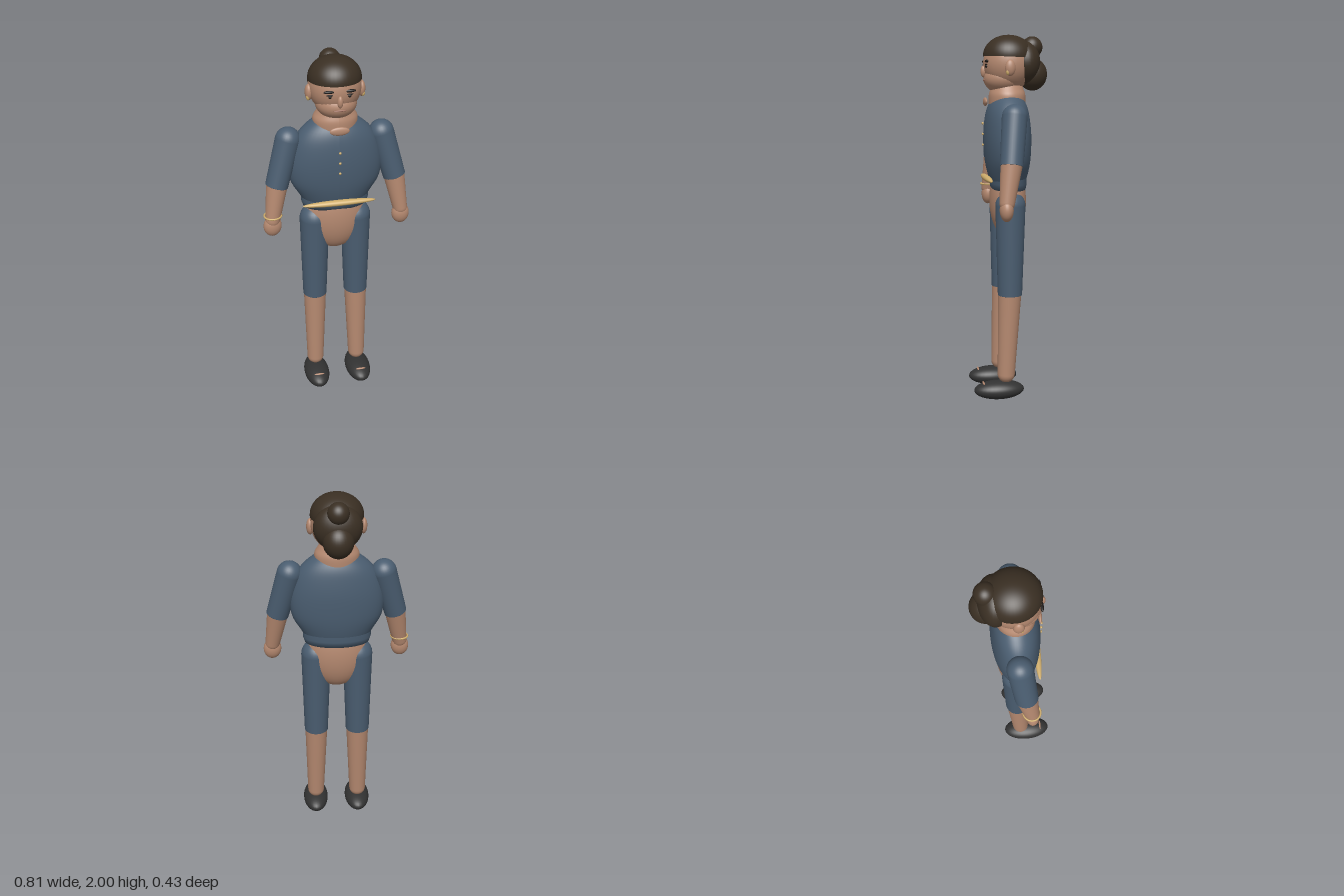
import * as THREE from 'three';

const mat = (name, color, side = THREE.FrontSide) => {
  const m = new THREE.MeshStandardMaterial({ color, side });
  m.name = name;
  return m;
};

export function createModel() {
  const skin = mat('skin', 0xb58970);
  const cloth = mat('blue cloth', 0x4a5d70, THREE.DoubleSide);
  const hair = mat('dark brown hair', 0x3a2f23, THREE.DoubleSide);
  const shoe = mat('charcoal shoe', 0x323232);
  const gold = mat('gold', 0xd0ae6c);
  const dark = mat('eye black', 0x1e1a18);
  const lip = mat('lip brown', 0xa07060);
  const root = new THREE.Group();
  root.name = 'standingFigure';

  const add = (name, geo, material, pos = [0, 0, 0]) => {
    const m = new THREE.Mesh(geo, material);
    m.name = name;
    m.position.set(...pos);
    root.add(m);
    return m;
  };
  const ball = (name, material, pos, radii, seg = 32) => {
    const m = add(name, new THREE.SphereGeometry(1, seg, Math.round(seg * 0.7)), material, pos);
    m.scale.set(...radii);
    return m;
  };
  // Elliptical loft: rows of [y, half width, half depth, z centre]
  const loft = (name, material, rows, smooth = true) => {
    const curve = new THREE.CatmullRomCurve3(rows.map(r => new THREE.Vector3(r[1], r[0], r[2])));
    const zc = new THREE.CatmullRomCurve3(rows.map(r => new THREE.Vector3(0, r[0], r[3])));
    const n = smooth ? 28 : rows.length - 1;
    const prof = [], depth = [], shift = [];
    for (let i = 0; i <= n; i++) {
      const p = curve.getPoint(i / n);
      prof.push(new THREE.Vector2(Math.max(p.x, 0.0001), p.y));
      depth.push(p.z / Math.max(p.x, 0.0001));
      shift.push(zc.getPoint(i / n).z);
    }
    const g = new THREE.LatheGeometry(prof, 48);
    const pos = g.attributes.position;
    for (let i = 0; i < pos.count; i++) {
      const k = i % (n + 1);
      pos.setZ(i, pos.getZ(i) * depth[k] + shift[k]);
    }
    g.computeVertexNormals();
    return add(name, g, material);
  };
  // Tapered limb from a (rounded) to b (rounded or flat)
  const limb = (name, material, a, b, ra, rb, roundEnd) => {
    const A = new THREE.Vector3(...a), B = new THREE.Vector3(...b);
    const L = A.distanceTo(B), pts = [];
    if (roundEnd) {
      for (let i = 0; i <= 8; i++) {
        const t = i / 8 * Math.PI / 2;
        pts.push(new THREE.Vector2(rb * Math.sin(t), -rb * Math.cos(t)));
      }
    } else pts.push(new THREE.Vector2(0, 0), new THREE.Vector2(rb - 0.001, 0), new THREE.Vector2(rb, 0.001));
    for (let i = 0; i <= 10; i++) {
      const t = i / 10 * Math.PI / 2;
      pts.push(new THREE.Vector2(ra * Math.cos(t), L + ra * Math.sin(t)));
    }
    const m = add(name, new THREE.LatheGeometry(pts, 32), material, b);
    m.quaternion.setFromUnitVectors(new THREE.Vector3(0, 1, 0), A.sub(B).normalize());
    return m;
  };

  // Torso, waistband and hips
  loft('shirt', cloth, [
    [1.19, 0.165, 0.09, 0.005], [1.25, 0.2, 0.108, 0.006], [1.32, 0.24, 0.121, 0.007],
    [1.4, 0.252, 0.127, 0.008], [1.48, 0.243, 0.127, 0.008], [1.56, 0.218, 0.119, 0.008],
    [1.61, 0.186, 0.108, 0.007], [1.65, 0.142, 0.09, 0.006], [1.675, 0.1, 0.07, 0.005], [1.68, 0, 0, 0.005],
  ]);
  loft('waistband', cloth, [
    [1.165, 0, 0, 0.003], [1.167, 0.175, 0.094, 0.003], [1.2, 0.186, 0.1, 0.003], [1.26, 0.186, 0.1, 0.003],
  ], false);
  ball('hips', skin, [0, 1.1, 0.005], [0.165, 0.21, 0.1]);
  ball('beltSash', gold, [0, 1.225, 0.122], [0.198, 0.016, 0.02]);
  for (const y of [1.41, 1.468, 1.526]) ball('button', gold, [0, y, 0.142], [0.007, 0.007, 0.006], 12);

  // Neck with throat ornament
  loft('neck', skin, [
    [1.58, 0.11, 0.095, 0.008], [1.64, 0.118, 0.1, 0.008], [1.68, 0.117, 0.099, 0.008],
    [1.71, 0.1, 0.09, 0.008], [1.74, 0.08, 0.08, 0.008],
  ]);
  ball('throatOrnament', skin, [0, 1.643, 0.128], [0.052, 0.023, 0.011]);

  // Head
  ball('skull', skin, [0, 1.845, 0], [0.137, 0.145, 0.138]);
  ball('jaw', skin, [0, 1.765, 0.03], [0.108, 0.08, 0.106]);
  ball('nose', skin, [0, 1.805, 0.137], [0.015, 0.032, 0.016], 20);
  ball('mouth', lip, [0, 1.757, 0.134], [0.034, 0.005, 0.005], 16);

  // Hair: cap, back mass and two buns
  const cap = add('hairCap', new THREE.SphereGeometry(1, 40, 20, 0, Math.PI * 2, 0, Math.PI * 0.52), hair, [0, 1.887, -0.002]);
  cap.scale.set(0.138, 0.113, 0.14);
  cap.rotation.x = -0.04;
  ball('hairBack', hair, [0, 1.85, -0.088], [0.126, 0.12, 0.085]);
  ball('lowerBun', hair, [0, 1.79, -0.132], [0.08, 0.088, 0.08]);
  ball('topBun', hair, [0, 1.935, -0.13], [0.056, 0.058, 0.056]);

  for (const s of [-1, 1]) {
    // Face details and ears
    ball('eyebrow', dark, [s * 0.053, 1.858, 0.127], [0.03, 0.008, 0.009], 16);
    ball('eyelid', dark, [s * 0.05, 1.841, 0.129], [0.018, 0.004, 0.006], 12);
    ball('eye', dark, [s * 0.05, 1.832, 0.128], [0.009, 0.009, 0.008], 12);
    ball('ear', skin, [s * 0.137, 1.822, 0.012], [0.02, 0.043, 0.028], 20);
    ball('earring', gold, [s * 0.143, 1.8, 0.026], [0.01, 0.017, 0.01], 12);

    // Arms
    limb('sleeve', cloth, [s * 0.25, 1.568, 0.008], [s * 0.321, 1.318, 0.036], 0.067, 0.061, false);
    limb('forearm', skin, [s * 0.318, 1.33, 0.035], [s * 0.353, 1.13, 0.064], 0.058, 0.04, true);
    const hand = ball('hand', skin, [s * 0.355, 1.095, 0.067], [0.049, 0.06, 0.036]);
    hand.rotation.z = s * 0.08;

    // Legs
    limb('trouserLeg', cloth, [s * 0.115, 1.085, 0.008], [s * 0.119, 0.59, 0.011], 0.082, 0.067, false);
    limb('shin', skin, [s * 0.119, 0.6, 0.012], [s * 0.125, 0.14, 0.033], 0.064, 0.048, true);

    // Shoes
    ball('shoe', shoe, [s * 0.126, 0.052, 0.073], [0.073, 0.052, 0.14]);
    ball('shoeStrap', skin, [s * 0.126, 0.093, 0.16], [0.03, 0.005, 0.006], 16);
  }

  // Bracelet on the right wrist
  const bracelet = add('bracelet', new THREE.TorusGeometry(0.046, 0.005, 10, 32), gold, [-0.351, 1.155, 0.063]);
  bracelet.rotation.x = Math.PI / 2;
  return root;
}
